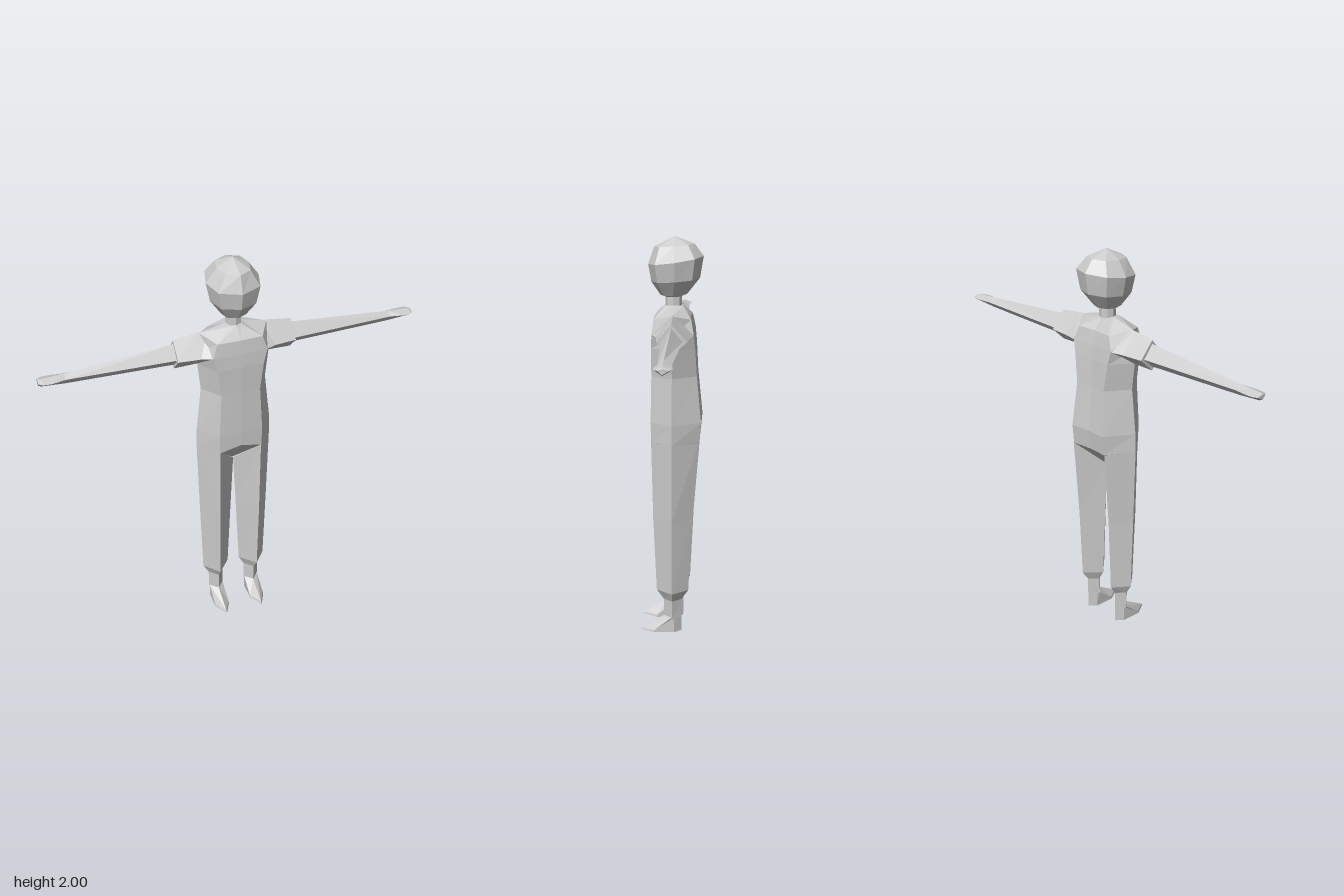
import * as THREE from 'three';

const material = new THREE.MeshStandardMaterial({ color: 0xcccccc, flatShading: true });
const MID_Z = -0.01;

// Joins rings of [x, y, z] corners into a closed, faceted solid.
// The two ends close to the given points, or to the middle of the end ring.
function loft(name, rings, startTip, endTip) {
  const tris = [];
  const n = rings[0].length;
  const middle = (ring) => [0, 1, 2].map((k) => ring.reduce((s, p) => s + p[k], 0) / n);
  const first = rings[0], last = rings[rings.length - 1];
  const a = startTip || middle(first), b = endTip || middle(last);
  for (let i = 0; i < n; i++) {
    const j = (i + 1) % n;
    tris.push([a, first[j], first[i]], [b, last[i], last[j]]);
    for (let r = 0; r < rings.length - 1; r++) {
      const lo = rings[r], hi = rings[r + 1];
      tris.push([lo[i], lo[j], hi[j]], [lo[i], hi[j], hi[i]]);
    }
  }
  // Turn all faces outwards, whichever way the rings run
  const v = tris.map((t) => t.map((p) => new THREE.Vector3(...p)));
  const volume = v.reduce((s, [p, q, r]) => s + p.dot(q.clone().cross(r)), 0);
  if (volume < 0) tris.forEach((t) => t.reverse());
  const geometry = new THREE.BufferGeometry();
  geometry.setAttribute('position', new THREE.Float32BufferAttribute(tris.flat(2), 3));
  geometry.computeVertexNormals();
  const mesh = new THREE.Mesh(geometry, material);
  mesh.name = name;
  return mesh;
}

// Eight-sided ring of the torso: front middle, front, side, back, back middle, mirrored
function torsoRing([y, fx, fz, sx, sy, bx, bz], midY = y) {
  const half = [[fx, y, fz], [sx, sy, MID_Z], [bx, y, bz]];
  const mirrored = half.map(([x, py, z]) => [-x, py, z]).reverse();
  return [[0, midY, fz + 0.004], ...half, [0, y, bz + 0.008], ...mirrored];
}

// Diamond ring around an arm, at distance x from the middle
const armRing = (side) => ([x, top, bottom, front, back]) => [
  [side * x, top, -0.015], [side * x, 1.537, front],
  [side * x, bottom, -0.015], [side * x, 1.537, back],
];

// Diamond ring around a leg
const legRing = (side) => ([y, outer, inner, mid, front, back, innerY = y]) => [
  [side * outer, y, MID_Z], [side * mid, y, front],
  [side * inner, innerY, MID_Z], [side * mid, y, back],
];

// Six-sided ring of a foot: toe, two sides, heel
const footRing = (side) => ([y, w, toe, ball, rear, heel]) => [
  [0, toe], [w, ball], [w * 0.85, rear], [0, heel], [-w * 0.85, rear], [-w, ball],
].map(([x, z]) => [side * (0.1 + x), y, z]);

// Eight-sided ring of the head, tilted from front to back
function headRing([yFront, yBack, w, front, back]) {
  const ring = [];
  for (let i = 0; i < 8; i++) {
    const angle = (i / 8) * Math.PI * 2;
    const f = (1 + Math.cos(angle)) / 2;
    ring.push([Math.sin(angle) * w * (i % 2 ? 1.1 : 1),
      yBack + (yFront - yBack) * f, back + (front - back) * f]);
  }
  return ring;
}

export function createModel() {
  const model = new THREE.Group();
  model.name = 'figure';

  // Shirt body, closing below into the crotch
  model.add(loft('torso', [
    torsoRing([1.0, 0.11, 0.096, 0.195, 1.0, 0.105, -0.14], 1.025),
    torsoRing([1.1, 0.112, 0.098, 0.193, 1.1, 0.105, -0.15]),
    torsoRing([1.33, 0.1, 0.094, 0.168, 1.33, 0.09, -0.128]),
    torsoRing([1.47, 0.118, 0.094, 0.184, 1.47, 0.11, -0.12]),
    torsoRing([1.54, 0.137, 0.09, 0.18, 1.54, 0.125, -0.113]),
    torsoRing([1.61, 0.115, 0.082, 0.17, 1.635, 0.1, -0.1]),
    torsoRing([1.665, 0.028, 0.033, 0.04, 1.668, 0.028, -0.058]),
  ], [0, 0.88, -0.02]));

  // Neck
  const neck = new THREE.Mesh(new THREE.CylinderGeometry(0.04, 0.041, 0.1, 8), material);
  neck.name = 'neck';
  neck.position.set(0, 1.685, MID_Z);
  model.add(neck);

  // Head
  model.add(loft('head', [
    [1.715, 1.72, 0.06, 0.055, -0.075],
    [1.78, 1.8, 0.112, 0.1, -0.138],
    [1.865, 1.905, 0.132, 0.115, -0.155],
    [1.95, 1.965, 0.08, 0.085, -0.11],
  ].map(headRing), [0, 1.695, MID_Z], [0, 2, -0.015]));

  for (const side of [1, -1]) {
    const label = side > 0 ? 'left' : 'right';

    // Short sleeve, open-looking end around a thinner arm
    model.add(loft(label + 'Sleeve', [
      [0.13, 1.642, 1.47, 0.088, -0.112],
      [0.19, 1.636, 1.47, 0.066, -0.1],
      [0.3, 1.62, 1.468, 0.055, -0.09],
    ].map(armRing(side))));

    // Arm and hand
    model.add(loft(label + 'Arm', [
      [0.28, 1.603, 1.488, 0.036, -0.07],
      [0.83, 1.556, 1.503, 0.012, -0.05],
      [0.9, 1.552, 1.508, 0.026, -0.058],
      [0.94, 1.55, 1.511, 0.022, -0.057],
      [0.956, 1.544, 1.518, 0.006, -0.045],
    ].map(armRing(side))));

    // Trouser leg, cuff and ankle
    model.add(loft(label + 'Leg', [
      [1.0, 0.195, 0, 0.108, 0.096, -0.14, 0.88],
      [0.6, 0.183, 0.014, 0.106, 0.087, -0.108],
      [0.22, 0.17, 0.032, 0.104, 0.07, -0.09],
      [0.17, 0.141, 0.06, 0.1, 0.035, -0.055],
      [0.07, 0.138, 0.062, 0.1, 0.033, -0.055],
    ].map(legRing(side))));

    // Foot with a pointed toe
    model.add(loft(label + 'Foot', [
      [0.0, 0.038, 0.157, 0.085, -0.02, -0.055],
      [0.012, 0.038, 0.148, 0.08, -0.02, -0.055],
      [0.08, 0.037, 0.033, -0.005, -0.02, -0.055],
    ].map(footRing(side))));
  }
  return model;
}
